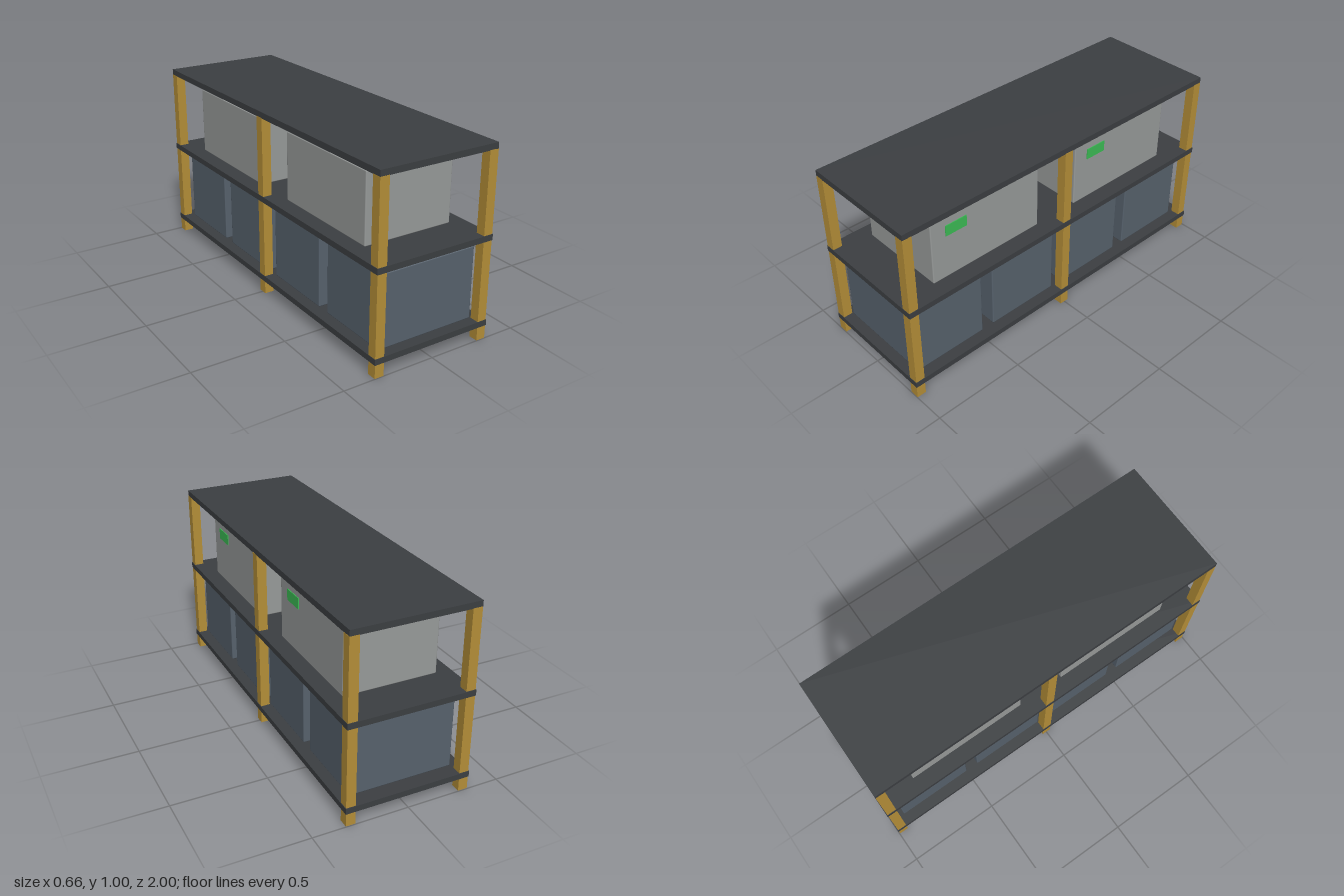
import * as THREE from 'three';
import { RoundedBoxGeometry } from 'three/addons/geometries/RoundedBoxGeometry.js';

const paint = (color) => new THREE.MeshStandardMaterial({ color });

export function createModel() {
  const model = new THREE.Group();
  const wood = paint(0xb58f38);
  const board = paint(0x3c3f42);
  const greyPlastic = paint(0x989b9a);
  const bluePlastic = paint(0x57626d);
  const green = paint(0x3cbc55);
  const red = paint(0x7f2c2c);

  // Box given by its extents on each axis; a radius softens its edges
  function block(name, material, [x0, x1], [y0, y1], [z0, z1], radius = 0) {
    const size = [x1 - x0, y1 - y0, z1 - z0];
    const geometry = radius
      ? new RoundedBoxGeometry(...size, 2, radius)
      : new THREE.BoxGeometry(...size);
    const mesh = new THREE.Mesh(geometry, material);
    mesh.name = name;
    mesh.position.set((x0 + x1) / 2, (y0 + y1) / 2, (z0 + z1) / 2);
    model.add(mesh);
  }

  // Six posts: two rows of three
  for (const x of [-0.306, 0.303]) {
    for (const z of [-0.971, 0.001, 0.973]) {
      block('post', wood, [x - 0.025, x + 0.025], [0, 0.97], [z - 0.025, z + 0.025]);
    }
  }

  // Shelves and top board
  for (const y of [0.07, 0.52]) {
    block('shelf', board, [-0.333, 0.331], [y, y + 0.031], [-1, 1]);
  }
  block('topBoard', board, [-0.331, 0.327], [0.968, 1], [-0.996, 0.998]);

  // Large bins on the middle shelf, with a label on the left side
  for (const z of [0.461, -0.459]) {
    block('upperBin', greyPlastic, [-0.251, 0.246], [0.551, 0.917], [z - 0.332, z + 0.332], 0.006);
    block('binLabel', green, [0.24, 0.25], [0.792, 0.851], [z + 0.123, z + 0.248]);
  }

  // Four bins on the bottom shelf, with a handle on each lid
  for (const z of [0.738, 0.254, -0.23, -0.714]) {
    block('lowerBin', bluePlastic, [-0.276, 0.273], [0.101, 0.484], [z - 0.207, z + 0.207], 0.006);
    block('lidHandle', red, [-0.21, -0.087], [0.483, 0.509], [z + 0.045, z + 0.126], 0.006);
  }

  return model;
}
